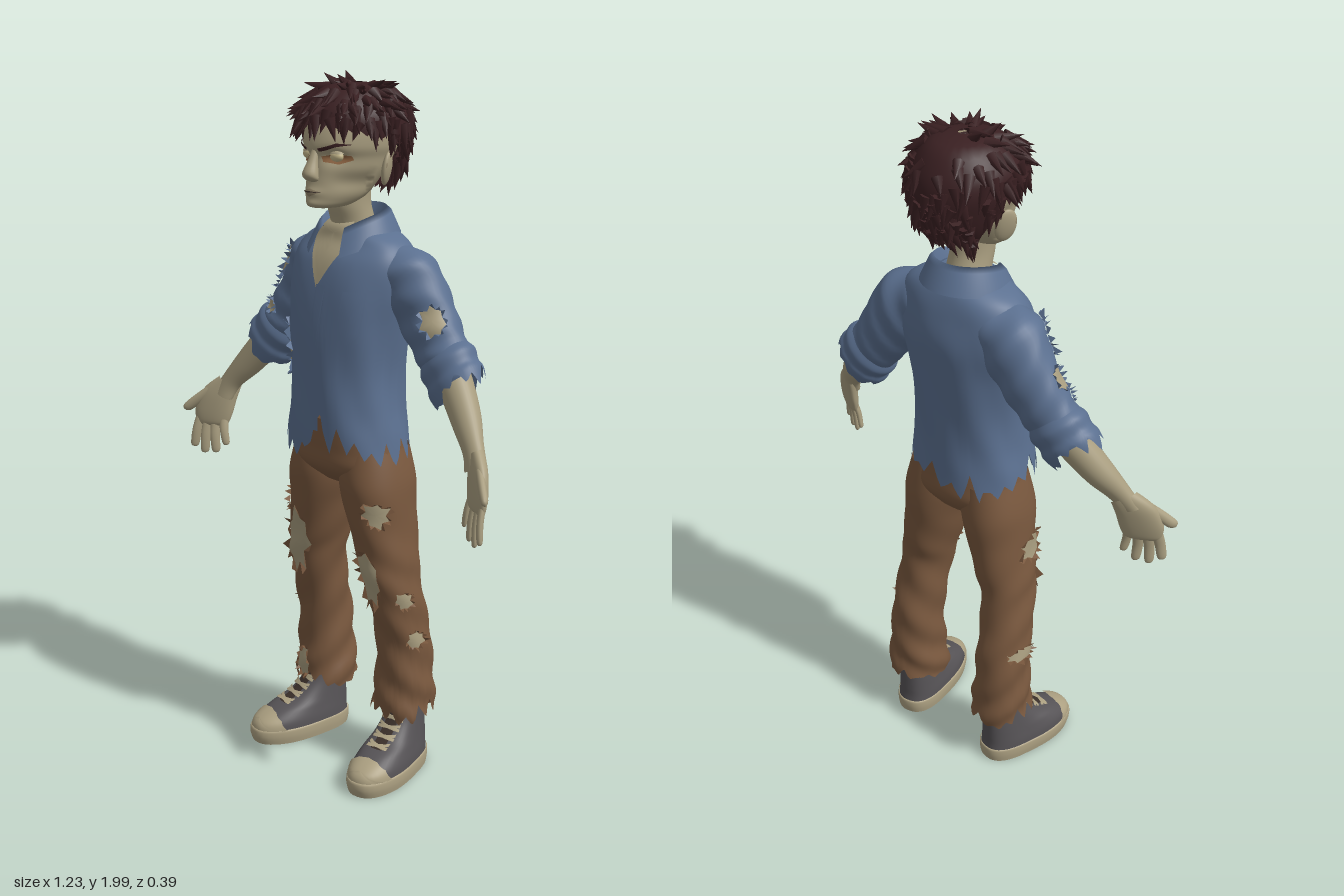
import * as THREE from 'three';
import { mergeGeometries } from 'three/addons/utils/BufferGeometryUtils.js';

const V = (x, y, z) => new THREE.Vector3(x, y, z);
let seed = 7;
const rnd = () => (seed = (seed * 16807) % 2147483647) / 2147483647;
const hash = n => { const s = Math.sin(n * 127.1) * 43758.5453; return s - Math.floor(s); };
const bell = (a, b) => Math.exp(-a * a - b * b);

// Surface through cross-sections listed top to bottom: [x, y, z, halfWidth, front, back, tilt]
function surf(list, p = 2, warp = q => q) {
  const secs = list.map(([x, y, z, a, f = a, b = f, t = 0]) => [x, y, z, a, f, b, t]), n = secs.length - 1;
  const S = k => secs[Math.max(0, Math.min(n, k))];
  const pw = c => Math.sign(c) * Math.abs(c) ** (2 / p);
  return (u, v) => {
    const f = Math.min(Math.max(v, 0), 1) * n, i = Math.min(Math.floor(f), n - 1), t = f - i;
    const q = secs[0].map((_, j) => {
      const [a, b, c, d] = [S(i - 1)[j], S(i)[j], S(i + 1)[j], S(i + 2)[j]];
      return b + 0.5 * t * (c - a + t * (2 * a - 5 * b + 4 * c - d + t * (3 * (b - c) + d - a)));
    });
    const c = Math.cos(u * Math.PI * 2), s = Math.sin(u * Math.PI * 2);
    const w = pw(c) * q[3], d = pw(s) * (s > 0 ? q[4] : q[5]);
    return warp(V(q[0] + w * Math.cos(q[6]), q[1] + w * Math.sin(q[6]), q[2] + d), u, v);
  };
}

function normalAt(s, u, v) {
  const e = 0.005, du = s(u + e, v).sub(s(u - e, v));
  return du.cross(s(u, v + e).sub(s(u, v - e))).normalize();
}
const lift = (s, u, v, d) => s(u, v).addScaledVector(normalAt(s, u, v), d);

function geo(pos, idx) {
  const g = new THREE.BufferGeometry();
  g.setAttribute('position', new THREE.Float32BufferAttribute(pos, 3));
  g.setIndex(idx);
  g.computeVertexNormals();
  return g;
}

function grid(fn, nu, nv, closed) {
  const cols = closed ? nu : nu + 1, pos = [], idx = [];
  for (let j = 0; j <= nv; j++) for (let i = 0; i < cols; i++) pos.push(...fn(i / nu, j / nv).toArray());
  for (let j = 0; j < nv; j++) for (let i = 0; i < nu; i++) {
    const k = (i + 1) % cols, a = j * cols + i, b = j * cols + k, c = b + cols, d = a + cols;
    idx.push(a, b, d, b, c, d);
  }
  return geo(pos, idx);
}

// Closed tube of a surface, with an optional ragged end and a bottom cap
function shell(s, nu = 32, nv = 30, end = () => 1, cap = false) {
  const rows = nv + (cap ? 2 : 0);
  return grid((u, v) => {
    const j = Math.round(v * rows);
    return j > nv + 1 ? s(0, 1).lerp(s(0.5, 1), 0.5) : s(u, Math.min(j / nv, 1) * end(u));
  }, nu, rows, true);
}

const teeth = (K, amp, salt) => u => {
  const f = u * K, i = Math.floor(f);
  return 1 - amp * hash((i % K) + salt) * (1 - Math.abs(2 * (f - i) - 1)) - amp * 0.25 * (1 + Math.sin(6 * Math.PI * u + salt));
};

// Thin plate that follows a surface inside a [u, v] outline
function patch(s, outline, d = 0.005, m = 4) {
  let area = 0;
  outline.forEach(([u, v], i) => { const [a, b] = outline[(i + 1) % outline.length]; area += u * b - a * v; });
  const poly = area > 0 ? [...outline].reverse() : outline, n = poly.length;
  const cu = poly.reduce((t, p) => t + p[0], 0) / n, cv = poly.reduce((t, p) => t + p[1], 0) / n;
  return grid((a, r) => {
    const f = a * n, i = Math.floor(f + 1e-6), t = f - i, [p, q] = [poly[i % n], poly[(i + 1) % n]];
    const u = p[0] + (q[0] - p[0]) * t, v = p[1] + (q[1] - p[1]) * t;
    return lift(s, cu + (u - cu) * r, cv + (v - cv) * r, d);
  }, n * m, 6, true);
}

function mirrored(g) {
  const m = g.clone().scale(-1, 1, 1), ix = m.index.array;
  for (let i = 0; i < ix.length; i += 3) [ix[i], ix[i + 1]] = [ix[i + 1], ix[i]];
  return m;
}

export function createModel() {
  seed = 7;
  const group = new THREE.Group();
  const mat = (name, color, side = THREE.FrontSide) => Object.assign(new THREE.MeshStandardMaterial({ color, side }), { name });
  const D = THREE.DoubleSide;
  const skin = mat('skin', 0xa89d7f), shirt = mat('shirt blue', 0x5b7090, D), pants = mat('trouser brown', 0x79583e, D);
  const hair = mat('hair', 0x3a2022, D), canvas = mat('shoe grey', 0x565356, D), rubber = mat('rubber cream', 0xaea283);
  const eye = mat('eye', 0xc6b88c), sore = mat('sore eyelid', 0x8f6542), lip = mat('lip', 0x8b7d64), dark = mat('dark line', 0x3b302a);

  // side: 1 left, -1 right, 0 both, undefined for a centred part
  const add = (name, g, m, side) => {
    const put = (n, h) => { const o = new THREE.Mesh(h, m); o.name = n; group.add(o); };
    if (side === undefined) return put(name, g);
    if (side >= 0) put(name + 'Left', g);
    if (side <= 0) put(name + 'Right', mirrored(g));
  };

  // Ragged hole showing skin, with peeled cloth points around it
  const tear = (name, s, u, v, du, dv, cloth, side) => {
    const n = 14, pts = [];
    for (let i = 0; i < n; i++) {
      const a = -i / n * Math.PI * 2, r = (i % 2 ? 0.72 : 1) * (0.85 + 0.3 * rnd());
      pts.push([u + Math.cos(a) * du * r, v + Math.sin(a) * dv * r]);
    }
    add(name + 'Tear', patch(s, pts, 0.004, 2), skin, side);
    const pos = [], idx = [];
    for (let i = 0; i < n; i++) {
      const [p, q] = [pts[i], pts[(i + 1) % n]], k = 1.12 + 0.2 * rnd();
      const tip = lift(s, u + ((p[0] + q[0]) / 2 - u) * k, v + ((p[1] + q[1]) / 2 - v) * k, 0.01 + 0.014 * rnd());
      for (const c of [lift(s, ...p, 0.003), lift(s, ...q, 0.003), tip]) { idx.push(idx.length); pos.push(...c.toArray()); }
    }
    add(name + 'TornEdge', geo(pos, idx), cloth, side);
  };

  // Head and neck
  const headS = surf([[0, 1.95, -.02, .03], [0, 1.93, -.02, .08], [0, 1.87, -.02, .115, .125], [0, 1.81, -.02, .118, .147, .125],
    [0, 1.775, -.02, .108, .142, .11], [0, 1.74, -.01, .1, .135, .09], [0, 1.7, .01, .083, .122, .08],
    [0, 1.67, .03, .066, .106, .07], [0, 1.65, .06, .045, .072, .06], [0, 1.643, .07, .015, .03]], 2, p => {
    if (p.z > 0) {
      const x = Math.abs(p.x);
      p.z -= 0.014 * bell((x - .05) / .027, (p.y - 1.782) / .02);
      p.z += 0.007 * bell(p.x / .032, (p.y - 1.688) / .012) + 0.006 * bell(p.x / .025, (p.y - 1.66) / .012);
      p.x *= 1 - 0.12 * bell((x - .075) / .035, (p.y - 1.715) / .025);
    }
    return p;
  });
  add('head', shell(headS, 64, 60, undefined, true), skin);
  add('neck', shell(surf([[0, 1.72, .0, .058, .055, .07], [0, 1.65, .0, .056, .058, .07], [0, 1.59, -.02, .06, .062, .065], [0, 1.5, -.03, .075, .07]])), skin);
  add('nose', shell(surf([[0, 1.808, .112, .01], [0, 1.77, .127, .014], [0, 1.738, .136, .022, .022], [0, 1.722, .131, .021, .017], [0, 1.715, .122, .01]]), 20, 16, undefined, true), skin);
  add('mouthLips', patch(headS, [[.19, .7], [.25, .675], [.31, .7], [.25, .745]], .002), lip);
  add('mouthLine', patch(headS, [[.185, .703], [.25, .697], [.315, .703], [.25, .708]], .004), dark);
  const ball = (x, y, z, a, b, c, top = Math.PI) => new THREE.SphereGeometry(1, 20, 14, 0, Math.PI * 2, 0, top).scale(a, b, c).translate(x, y, z);
  add('eye', ball(.05, 1.782, .09, .024, .015, .015), eye, 0);
  add('eyelid', ball(.05, 1.784, .089, .026, .017, .018, 1.25), skin, 0);
  add('eyeRim', patch(headS, [[.22, .42], [.17, .39], [.11, .41], [.1, .45], [.15, .49], [.21, .47]], .003), sore, 0);
  add('eyebrow', patch(headS, [[.225, .35], [.16, .318], [.105, .325], [.16, .335], [.22, .37]], .006), hair, 0);
  add('ear', ball(0, 0, 0, .012, .046, .03).rotateY(.5).rotateZ(-.2).translate(.122, 1.748, -.025), skin, 0);
  add('earHollow', ball(0, 0, 0, .008, .028, .016).rotateY(.5).rotateZ(-.2).translate(.13, 1.752, -.015), lip, 0);

  // Hair cap with tufts
  const hairS = surf([[0, 1.965, -.03, .02], [0, 1.95, -.03, .085, .095], [0, 1.9, -.03, .13, .147, .135], [0, 1.85, -.03, .142, .157, .15],
    [0, 1.8, -.03, .134, .15, .145], [0, 1.74, -.04, .112, .12, .115], [0, 1.68, -.04, .075, .08, .06]]);
  const hairEnd = u => {
    const s = Math.sin(u * Math.PI * 2);
    return s > 0 ? 0.66 - 0.18 * s ** 0.7 : 0.66 + 0.34 * THREE.MathUtils.smoothstep(-s, 0.1, 0.6);
  };
  const hairTeeth = teeth(24, .12, 3);
  add('hairCap', shell(hairS, 96, 20, u => hairEnd(u) * hairTeeth(u)), hair);
  const tufts = [];
  for (let i = 0; i < 210; i++) {
    const u = rnd(), v = (0.03 + 0.9 * Math.sqrt(rnd())) * hairEnd(u), N = normalAt(hairS, u, v);
    const dir = hairS(u, v + .03).sub(hairS(u, v)).normalize().addScaledVector(N, v < .35 ? .6 : .3);
    dir.add(V(rnd() - .5, rnd() - .5, rnd() - .5).multiplyScalar(.7)).normalize();
    const h = 0.05 + 0.03 * rnd(), q = new THREE.Quaternion().setFromUnitVectors(V(0, 1, 0), dir);
    const at = hairS(u, v).addScaledVector(dir, h * .28);
    tufts.push(new THREE.ConeGeometry(.017, h, 6, 1).applyQuaternion(q).translate(at.x, at.y, at.z));
  }
  add('hairTufts', mergeGeometries(tufts), hair);

  // Shirt body
  const bodyS = surf([[0, 1.6, -.035, .065], [0, 1.585, -.035, .095, .08], [0, 1.55, -.035, .165, .092, .1], [0, 1.5, -.03, .193, .122, .12],
    [0, 1.42, -.02, .192, .138, .143], [0, 1.32, -.01, .176, .142, .145], [0, 1.2, -.005, .163, .14, .14],
    [0, 1.1, 0, .168, .14, .14], [0, 1.02, 0, .181, .143, .143], [0, .945, 0, .192, .14, .148]], 2.3, (p, u, v) => {
    const k = 1 + 0.022 * Math.sin(u * 44 + v * 16) * Math.sin(v * 3) * v;
    return V(p.x * k, p.y, p.z * k);
  });
  const hem = teeth(20, .13, 11);
  add('shirtBody', shell(bodyS, 120, 54, u => hem(u) - .09 * Math.max(0, 1 - Math.abs(u - .24) / .025)), shirt);
  add('chestSkin', patch(bodyS, [[.14, .02], [.36, .02], [.25, .43]], .006, 12), skin);
  add('shirtPlacket', patch(bodyS, [[.228, .42], [.25, .42], [.25, .86], [.228, .86]], .006, 10), shirt);
  add('shirtPocket', patch(bodyS, [[.115, .43], [.18, .43], [.18, .56], [.15, .585], [.115, .56]], .006), shirt);
  tear('shirtSide', bodyS, .11, .63, .04, .075, shirt, -1);

  // Folded collar running round the back of the neck
  const band = [[.072, 1.565, 1.52], [.083, 1.64, 1.59], [.096, 1.628, 1.572], [.122, 1.57, 1.515]];
  add('collar', grid((s, v) => {
    const a = (65 - 310 * s) * Math.PI / 180, k = Math.abs(2 * s - 1) ** 2.5, [r, y0, y1] = band[Math.round(v * 3)];
    return V(Math.cos(a) * r * (1 + .15 * k), y0 + (y1 - y0) * k, -.032 + Math.sin(a) * r * (1 + .12 * k));
  }, 48, 3, false), shirt);

  // Sleeves and rolled cuffs
  const sleeveS = surf([[.1, 1.49, -.045, .075, .08, .08, .95], [.17, 1.45, -.055, .1, .085, .085, .8], [.23, 1.375, -.065, .09, .073, .073, .72],
    [.285, 1.3, -.06, .081, .067, .067, .7], [.33, 1.245, -.052, .076, .064, .064, .7], [.365, 1.2, -.045, .072, .06, .06, .7]], 2,
    (p, u, v) => p.setZ(p.z + .004 * Math.sin(v * 34 + u * 12)));
  const cuffS = surf([[.31, 1.27, -.056, .076, .064, .064, .7], [.327, 1.25, -.054, .089, .075, .075, .7], [.348, 1.226, -.05, .084, .07, .07, .7],
    [.365, 1.205, -.047, .09, .074, .074, .7], [.395, 1.17, -.038, .08, .064, .064, .7]]);
  add('sleeve', shell(sleeveS, 40, 36), shirt, 0);
  add('cuff', shell(cuffS, 64, 20, teeth(11, .3, 5)), shirt, 0);
  tear('leftSleeve', sleeveS, .13, .52, .07, .1, shirt, 1);
  tear('rightShoulder', sleeveS, .13, .28, .05, .11, shirt, -1);
  tear('rightSleeveFront', sleeveS, .17, .62, .06, .06, shirt, -1);
  tear('rightSleeveSide', sleeveS, .03, .5, .05, .09, shirt, -1);

  // Forearms, palms and fingers
  add('forearm', shell(surf([[.33, 1.25, -.052, .052, .05, .05, .7], [.39, 1.18, -.03, .048, .046, .046, .7], [.44, 1.12, -.008, .042, .04, .04, .7],
    [.485, 1.065, .018, .033, .028, .028, .65], [.51, 1.02, .035, .036, .024, .024, .45]])), skin, 0);
  const slant = p => p.setZ(p.z + (p.x - .53) * .5);
  add('palm', shell(surf([[.495, 1.06, .036, .03, .024, .024, .5], [.522, 1.015, .045, .047, .025, .025, .3], [.535, .965, .052, .052, .022, .022, .15],
    [.538, .93, .056, .046, .017, .017, .05], [.539, .918, .057, .036, .01, .01, 0]], 2.3, slant), 32, 20, undefined, true), skin, 0);
  const digit = (name, a, b, c, r, tilt) => add(name, shell(surf([[...a, r, r, r, tilt], [...b, r * .95, r * .95, r * .95, tilt],
    [...c, r * .8, r * .8, r * .8, tilt], [c[0] + Math.sin(tilt) * r * .7, c[1] - Math.cos(tilt) * r * .7, c[2], .002, .002, .002, tilt]], 2, slant), 14, 15), skin, 0);
  [[.503, .945, .488, .868], [.527, .935, .519, .842], [.55, .935, .552, .838], [.571, .945, .582, .855]].forEach(([x, y, X, Y], i) =>
    digit('finger' + (i + 1), [x, y, .056], [(x + X) / 2, (y + Y) / 2, .067], [X, Y, .07], i ? .0125 : .011, Math.atan2(X - x, y - Y)));
  digit('thumb', [.54, 1.03, .05], [.577, .995, .062], [.602, .97, .068], .0155, .8);

  // Trousers
  add('trouserSeat', shell(surf([[0, 1.06, -.01, .155, .115], [0, .98, -.01, .172, .118, .125], [0, .92, -.012, .178, .118, .125], [0, .87, -.015, .11, .07, .09]], 2.3), 40, 20, undefined, true), pants);
  const legS = surf([[.092, .98, -.015, .08, .1, .108], [.103, .88, -.015, .095, .113, .118], [.118, .78, -.015, .086, .1, .112], [.137, .68, -.02, .08, .09, .1],
    [.152, .6, -.025, .073, .085, .088], [.162, .5, -.042, .074, .076, .085], [.166, .4, -.06, .074, .075, .088], [.167, .3, -.066, .079, .08, .088],
    [.165, .22, -.07, .086, .09, .09], [.165, .155, -.07, .09, .095, .092]], 2.2, (p, u, v) => {
    const w = .005 * Math.sin(v * 40 + u * 19) * v;
    return p.add(V(Math.cos(u * 6.283) * w, 0, Math.sin(u * 6.283) * w));
  });
  add('trouserLeg', shell(legS, 80, 60, teeth(13, .09, 2)), pants, 0);
  tear('rightKnee', legS, .25, .38, .085, .13, pants, -1);
  tear('rightThighSide', legS, .05, .24, .1, .05, pants, -1);
  tear('rightCalfSide', legS, .97, .64, .1, .025, pants, -1);
  tear('rightHem', legS, .24, .87, .04, .07, pants, -1);
  tear('leftKnee', legS, .25, .42, .08, .11, pants, 1);
  tear('leftThigh', legS, .13, .19, .07, .045, pants, 1);
  tear('leftKneeSide', legS, .06, .5, .05, .03, pants, 1);
  tear('leftCalf', legS, .04, .64, .06, .03, pants, 1);

  // Ankles and shoes
  add('ankle', shell(surf([[.166, .42, -.06, .05], [.167, .28, -.07, .046, .05], [.168, .2, -.075, .04, .044], [.17, .12, -.07, .045]])), skin, 0);
  const toeOut = g => g.translate(0, 0, .07).rotateY(.2).translate(.172, 0, -.07);
  const widen = p => p.setX(p.x * (.84 + .3 * THREE.MathUtils.smoothstep(p.z, -.14, .12)));
  const shoeS = surf([[0, .2, -.075, .052, .055, .058], [0, .155, -.07, .057, .078, .065], [0, .118, -.06, .062, .115, .075],
    [0, .092, -.05, .066, .172, .085], [0, .062, -.04, .071, .214, .095], [0, .032, -.04, .073, .224, .098]], 2.4, widen);
  const soleS = surf([[0, .046, -.04, .074, .224, .098], [0, .042, -.04, .077, .231, .102], [0, .022, -.04, .077, .232, .102], [0, 0, -.04, .074, .225, .098]], 2.4, widen);
  add('shoeUpper', toeOut(shell(shoeS, 48, 30)), canvas, 0);
  add('shoeSole', toeOut(shell(soleS, 48, 10, undefined, true)), rubber, 0);
  add('toeCap', toeOut(patch(shoeS, [[.09, .98], [.41, .98], [.36, .74], [.3, .63], [.25, .6], [.2, .63], [.14, .74]], .005, 8)), rubber, 0);
  add('shoeTongue', toeOut(patch(shoeS, [[.2, 0], [.3, 0], [.28, .5], [.22, .5]], .003, 6)), dark, 0);
  for (let i = 0; i < 4; i++) {
    const v = .1 + i * .11, w = .085 - i * .008;
    for (const k of [-1, 1]) add('lace', toeOut(patch(shoeS, [[.25 - k * w, v], [.25 + k * w, v + .05], [.25 + k * w, v + .085], [.25 - k * w, v + .035]], .008)), rubber, 0);
  }
  return group;
}
